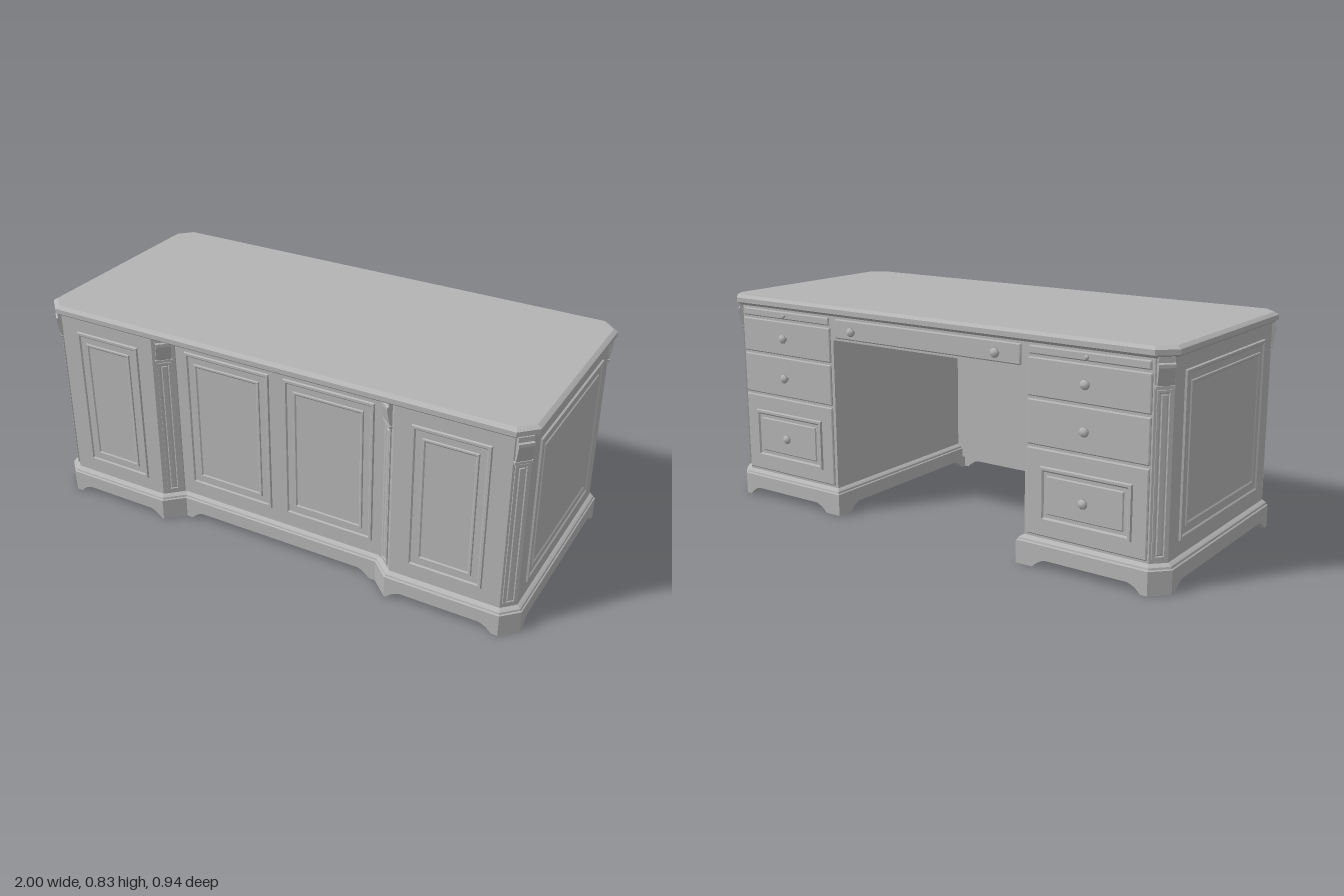
import * as THREE from 'three';

const paint = new THREE.MeshStandardMaterial({ color: 0xb4b4b4 });
paint.name = 'plain grey';

function add(parent, name, geometry, x = 0, y = 0, z = 0, turn = 0) {
  const mesh = new THREE.Mesh(geometry, paint);
  mesh.name = name;
  mesh.position.set(x, y, z);
  mesh.rotation.y = turn;
  parent.add(mesh);
  return mesh;
}

// Moves every side of a plan outline inwards by d, with mitred corners
function inset(pts, d) {
  const n = pts.length;
  const normal = (i) => {
    const [ax, az] = pts[i], [bx, bz] = pts[(i + 1) % n];
    const l = Math.hypot(bx - ax, bz - az);
    return [-(bz - az) / l, (bx - ax) / l];
  };
  return pts.map(([x, z], i) => {
    const p = normal((i + n - 1) % n), q = normal(i);
    const k = d / (1 + p[0] * q[0] + p[1] * q[1]);
    return [x + k * (p[0] + q[0]), z + k * (p[1] + q[1])];
  });
}

// Closed solid over an outline, from rows of [height, inset]
function loft(pts, rows) {
  const n = pts.length, pos = [];
  const rings = rows.map(([y, d]) => inset(pts, d).map(([x, z]) => [x, y, z]));
  for (let r = 0; r + 1 < rings.length; r++) {
    for (let i = 0; i < n; i++) {
      const j = (i + 1) % n, lo = rings[r], hi = rings[r + 1];
      pos.push(...lo[i], ...hi[i], ...lo[j], ...lo[j], ...hi[i], ...hi[j]);
    }
  }
  const bottom = rings[0], top = rings[rings.length - 1];
  for (let i = 1; i + 1 < n; i++) {
    pos.push(...bottom[0], ...bottom[i], ...bottom[i + 1]);
    pos.push(...top[0], ...top[i + 1], ...top[i]);
  }
  const g = new THREE.BufferGeometry();
  g.setAttribute('position', new THREE.Float32BufferAttribute(pos, 3));
  g.computeVertexNormals();
  return g;
}

// Rectangular plate with a stepped profile, facing +z
function plate(w, h, rows) {
  const a = w / 2, b = h / 2;
  return loft([[-a, -b], [a, -b], [a, b], [-a, b]], rows).rotateX(Math.PI / 2);
}

const PANEL = [[0, 0], [0.007, 0.003], [0.007, 0.012], [0.002, 0.017], [0.002, 0.041],
  [0.006, 0.044], [0.006, 0.05], [0.002, 0.055]];
const PILASTER = [[0, 0], [0.005, 0], [0.005, 0.008], [0.002, 0.011], [0.002, 0.014], [0.005, 0.017]];
const SLAB = [[0, 0], [0.005, 0], [0.008, 0.004]];
const DRAWER_PANEL = [[0, 0], [0.01, 0.003], [0.01, 0.012], [0.004, 0.018], [0.004, 0.03], [0.008, 0.034]];

// Plinth board between two plan points, cut away between its feet
function skirt(parent, a, b, feet) {
  const l = Math.hypot(b[0] - a[0], b[1] - a[1]);
  const s = new THREE.Shape();
  s.moveTo(0, 0.05);
  s.lineTo(0, 0);
  if (feet) {
    const [f, g] = feet;
    s.lineTo(f, 0);
    s.quadraticCurveTo(f + 0.02, 0.025, f + 0.05, 0.033);
    s.lineTo(l - g - 0.05, 0.033);
    s.quadraticCurveTo(l - g - 0.02, 0.025, l - g, 0);
  }
  s.lineTo(l, 0);
  s.lineTo(l, 0.05);
  const g = new THREE.ExtrudeGeometry(s, { depth: 0.03, bevelEnabled: false, curveSegments: 4 });
  add(parent, 'plinthSkirt', g, a[0], 0, a[1], Math.atan2(a[1] - b[1], b[0] - a[0]));
}

// Mushroom knob pointing to the back
function knob(parent, x, y, z, size = 1) {
  const profile = [[0.009, 0], [0.005, 0.004], [0.005, 0.012], [0.018, 0.015], [0.017, 0.021], [0.01, 0.027], [0, 0.029]];
  const g = new THREE.LatheGeometry(profile.map(([r, h]) => new THREE.Vector2(r * size, h * size)), 12);
  add(parent, 'knob', g.rotateX(-Math.PI / 2), x, y, z);
}

// Bracket at the head of a pilaster, facing +z
function corbel() {
  const s = new THREE.Shape();
  [[-0.01, 0], [0.008, 0], [0.012, 0.015], [0.02, 0.06], [0.02, 0.072], [0.014, 0.076], [0.014, 0.095], [-0.01, 0.095]]
    .forEach(([x, y], i) => (i ? s.lineTo(x, y) : s.moveTo(x, y)));
  return new THREE.ExtrudeGeometry(s, { depth: 0.056, bevelEnabled: false })
    .translate(0, 0, -0.028).rotateY(-Math.PI / 2);
}

const BACK = -0.433, FRONT = 0.448, SIDE = 0.978, CENTRE_FRONT = 0.385;

function pedestal() {
  const g = new THREE.Group();
  const plan = [[0.42, -0.455], [0.94, -0.455], [1, -0.395], [1, 0.41], [0.94, 0.47], [0.495, 0.47], [0.42, 0.4]];

  // Plinth with bracket feet and a stepped moulding
  const feet = [[0.07, 0.025], null, [0.025, 0.025], null, [0.025, 0.01], null, [0.05, 0.07]];
  feet.forEach((f, i) => skirt(g, plan[i], plan[(i + 1) % plan.length], f));
  add(g, 'plinth', loft(plan, [[0.05, 0], [0.086, 0], [0.089, 0.005], [0.096, 0.007], [0.1, 0.013], [0.105, 0.022]]));
  add(g, 'cabinet', loft(plan, [[0.1, 0.022], [0.8, 0.022]]));

  // Pilasters on the three cut corners
  const body = inset(plan, 0.022);
  for (const i of [1, 3, 5]) {
    const [ax, az] = body[i], [bx, bz] = body[i + 1];
    const x = (ax + bx) / 2, z = (az + bz) / 2;
    const turn = Math.atan2(bz - az, -(bx - ax));
    add(g, 'pilaster', plate(0.05, 0.57, PILASTER), x, 0.405, z, turn);
    add(g, 'pilasterCap', new THREE.BoxGeometry(0.064, 0.01, 0.022), x, 0.7, z, turn);
    add(g, 'corbel', corbel(), x, 0.704, z, turn);
  }

  // Moulded panels
  add(g, 'frontPanel', plate(0.29, 0.58, PANEL), 0.715, 0.45, FRONT);
  add(g, 'sidePanel', plate(0.648, 0.584, PANEL), SIDE, 0.45, 0.009, Math.PI / 2);

  // Writing slide and three drawers, as [bottom, top, knob height]
  add(g, 'writingSlide', plate(0.46, 0.03, SLAB), 0.69, 0.77, BACK, Math.PI);
  knob(g, 0.69, 0.77, BACK - 0.008, 0.5);
  for (const [lo, hi, k] of [[0.61, 0.745, 0.68], [0.44, 0.6, 0.52], [0.115, 0.43, 0.27]]) {
    add(g, 'drawer', plate(0.47, hi - lo, SLAB), 0.69, (lo + hi) / 2, BACK, Math.PI);
    knob(g, 0.69, k, BACK - 0.008);
  }
  add(g, 'deepDrawerPanel', plate(0.36, 0.2, DRAWER_PANEL), 0.69, 0.27, BACK - 0.007, Math.PI);
  return g;
}

export function createModel() {
  const desk = new THREE.Group();
  desk.name = 'desk';

  // Top with cut corners and a moulded edge
  const topPlan = [[-0.94, -0.457], [0.94, -0.457], [1, -0.397], [1, 0.407], [0.94, 0.467], [-0.94, 0.467], [-1, 0.407], [-1, -0.397]];
  add(desk, 'top', loft(topPlan, [[0.795, 0.014], [0.802, 0.008], [0.806, 0], [0.824, 0], [0.828, 0.006], [0.834, 0.016]]));

  // Two mirrored pedestals
  const left = pedestal(), right = pedestal();
  left.name = 'leftPedestal';
  right.name = 'rightPedestal';
  right.scale.x = -1;
  desk.add(left, right);

  // Recessed centre front with plinth and two panels
  add(desk, 'centreFront', new THREE.BoxGeometry(0.9, 0.75, 0.03), 0, 0.425, CENTRE_FRONT - 0.015);
  const board = [[-0.45, 0.365], [0.45, 0.365], [0.45, 0.405], [-0.45, 0.405]];
  add(desk, 'centrePlinth', loft(board, [[0.045, 0], [0.086, 0], [0.089, 0.005], [0.096, 0.007], [0.105, 0.019]]));
  skirt(desk, [0.45, 0.405], [-0.45, 0.405], [0.05, 0.05]);
  for (const x of [-0.215, 0.215]) {
    add(desk, 'centrePanel', plate(0.37, 0.58, PANEL), x, 0.45, CENTRE_FRONT);
  }

  // Centre drawer across the kneehole
  add(desk, 'drawerCase', new THREE.BoxGeometry(0.9, 0.1, 0.79), 0, 0.75, BACK + 0.395);
  add(desk, 'centreDrawer', plate(0.85, 0.075, SLAB), 0, 0.747, BACK, Math.PI);
  for (const x of [-0.33, 0.33]) knob(desk, x, 0.745, BACK - 0.008);

  return desk;
}
